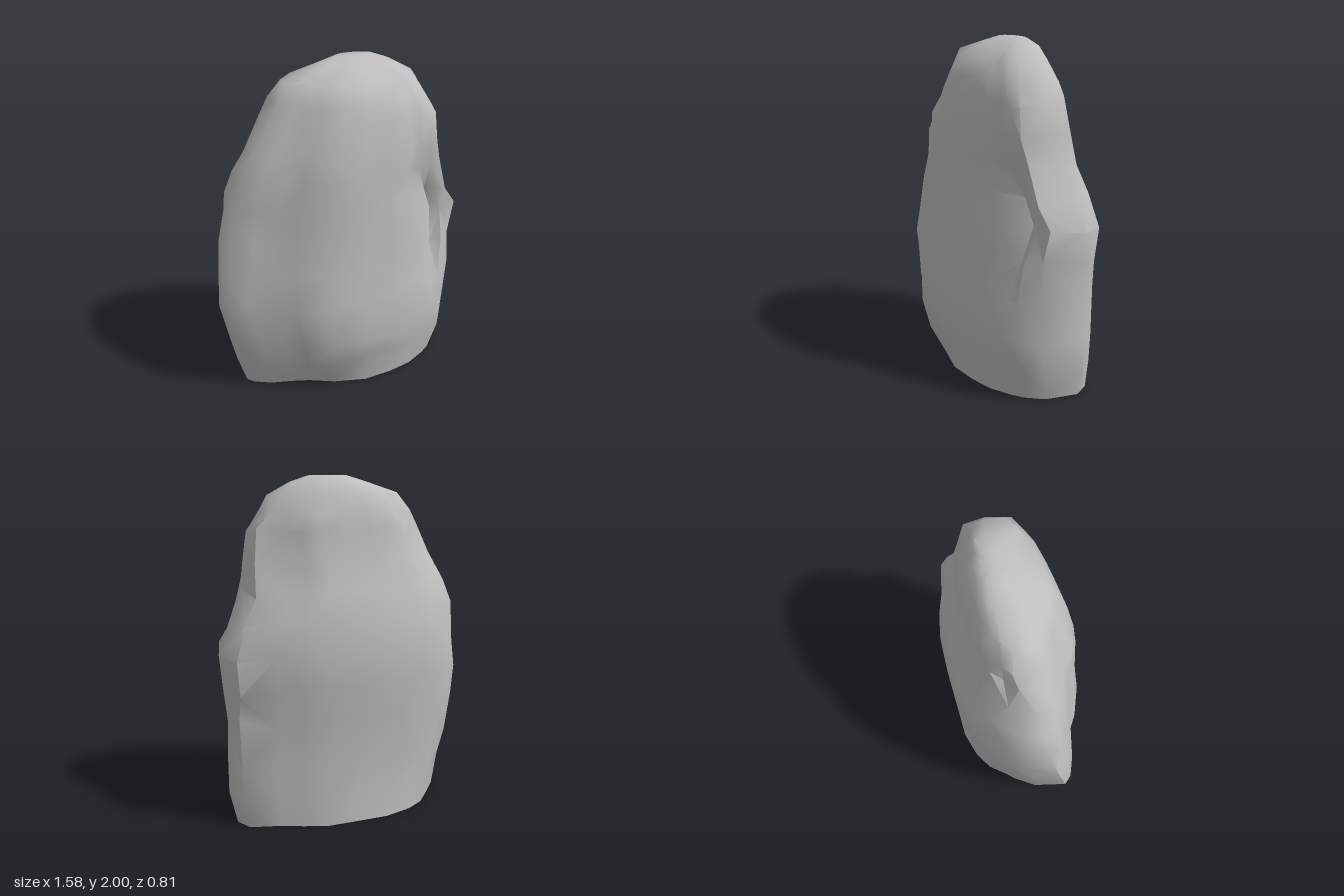
import * as THREE from 'three';
import { toCreasedNormals } from 'three/addons/utils/BufferGeometryUtils.js';

// plan outline: u runs along x (-1..1), v is depth (positive = front)
const OUTLINE = [
  [-1, 0], [-0.95, 0.14], [-0.8, 0.35], [-0.62, 0.5], [-0.47, 0.75], [-0.25, 1], [0.03, 0.96], [0.3, 0.92],
  [0.52, 0.84], [0.7, 0.7], [0.8, 0.6], [0.92, 0.4], [1, 0], [0.93, -0.36], [0.66, -0.6], [0.5, -0.78],
  [0.3, -0.95], [0.02, -0.98], [-0.25, -1], [-0.5, -0.9], [-0.66, -0.76], [-0.8, -0.52], [-0.94, -0.28],
];

// cross-sections: y, x min, x max, z front, z back, z of the -x tip, z of the +x tip
const SECTIONS = [
  [0.00, -0.64, 0.72, 0.34, -0.39, 0.05, -0.12],
  [0.20, -0.70, 0.765, 0.385, -0.37, 0.08, -0.12],
  [0.38, -0.74, 0.76, 0.41, -0.37, 0.09, -0.10],
  [0.63, -0.79, 0.75, 0.385, -0.38, 0.10, -0.09],
  [0.84, -0.77, 0.77, 0.365, -0.40, 0.06, -0.08],
  [1.02, -0.75, 0.785, 0.35, -0.40, 0.03, -0.08],
  [1.20, -0.70, 0.71, 0.34, -0.37, 0.00, -0.04],
  [1.38, -0.64, 0.63, 0.33, -0.32, -0.02, 0.00],
  [1.53, -0.56, 0.605, 0.32, -0.26, -0.02, 0.02],
  [1.69, -0.46, 0.575, 0.29, -0.24, -0.02, 0.04],
  [1.80, -0.39, 0.51, 0.25, -0.225, -0.02, 0.02],
  [1.90, -0.32, 0.45, 0.20, -0.19, -0.02, 0.00],
  [1.965, -0.12, 0.33, 0.09, -0.15, -0.03, -0.04],
  [2.00, 0.00, 0.23, 0.00, -0.11, -0.05, -0.05],
];

function seeded(seed) {
  return () => {
    seed = (seed * 16807) % 2147483647;
    return seed / 2147483647 - 0.5;
  };
}

const bump = (a, centre, width) => Math.exp(-(((a - centre) / width) ** 2));

function rockGeometry() {
  const n = OUTLINE.length;
  const positions = [];
  const index = [];
  const rand = seeded(77);

  SECTIONS.forEach(([y, x0, x1, zf, zb, tipL, tipR], r) => {
    const inner = r > 0 && r < SECTIONS.length - 2;
    for (const [u, v] of OUTLINE) {
      const t = (u + 1) / 2;
      const mid = tipL + (tipR - tipL) * t;
      // sections grow fuller towards the top
      let depth = Math.abs(v) ** (1 - 0.3 * Math.min(1, y / 1.4));
      if (v > 0) {
        // narrow groove down the front right, drifting inward lower down
        depth -= 0.36 * bump(u, 0.7 - 0.3 * Math.max(0, 1 - y), 0.14) * bump(y, 1.1, 0.36);
        // chipped foot
        depth -= 0.25 * bump(u, -0.35, 0.18) * bump(y, 0, 0.15);
      }
      const edge = v > 0 ? zf : zb;
      const loose = inner && Math.abs(v) > 0.2 && Math.abs(v) < 0.97 ? 1 : 0;
      positions.push(
        x0 + (x1 - x0) * t + rand() * 0.035 * loose,
        y + rand() * 0.08 * loose * (y < 1.7 ? 1 : 0.4),
        mid + (edge - mid) * depth + rand() * 0.024 * loose,
      );
    }
  });

  // skin with alternating diagonals for irregular facets
  for (let r = 0; r < SECTIONS.length - 1; r++) {
    for (let i = 0; i < n; i++) {
      const j = (i + 1) % n;
      const a = r * n + i, b = r * n + j, c = b + n, d = a + n;
      if ((r + i) % 2) index.push(a, b, c, a, c, d);
      else index.push(a, b, d, b, c, d);
    }
  }

  // flat base and crown
  const base = positions.length / 3;
  positions.push(0, 0, 0, 0.12, 2, -0.05);
  const last = (SECTIONS.length - 1) * n;
  for (let i = 0; i < n; i++) {
    const j = (i + 1) % n;
    index.push(base, j, i, base + 1, last + i, last + j);
  }

  const geometry = new THREE.BufferGeometry();
  geometry.setAttribute('position', new THREE.Float32BufferAttribute(positions, 3));
  geometry.setIndex(index);
  return toCreasedNormals(geometry, 0.85);
}

export function createModel() {
  const group = new THREE.Group();
  group.name = 'standingRock';
  const stone = new THREE.MeshStandardMaterial({ color: 0xbebebe });
  stone.name = 'grey stone';
  const rock = new THREE.Mesh(rockGeometry(), stone);
  rock.name = 'rock';
  group.add(rock);
  return group;
}
